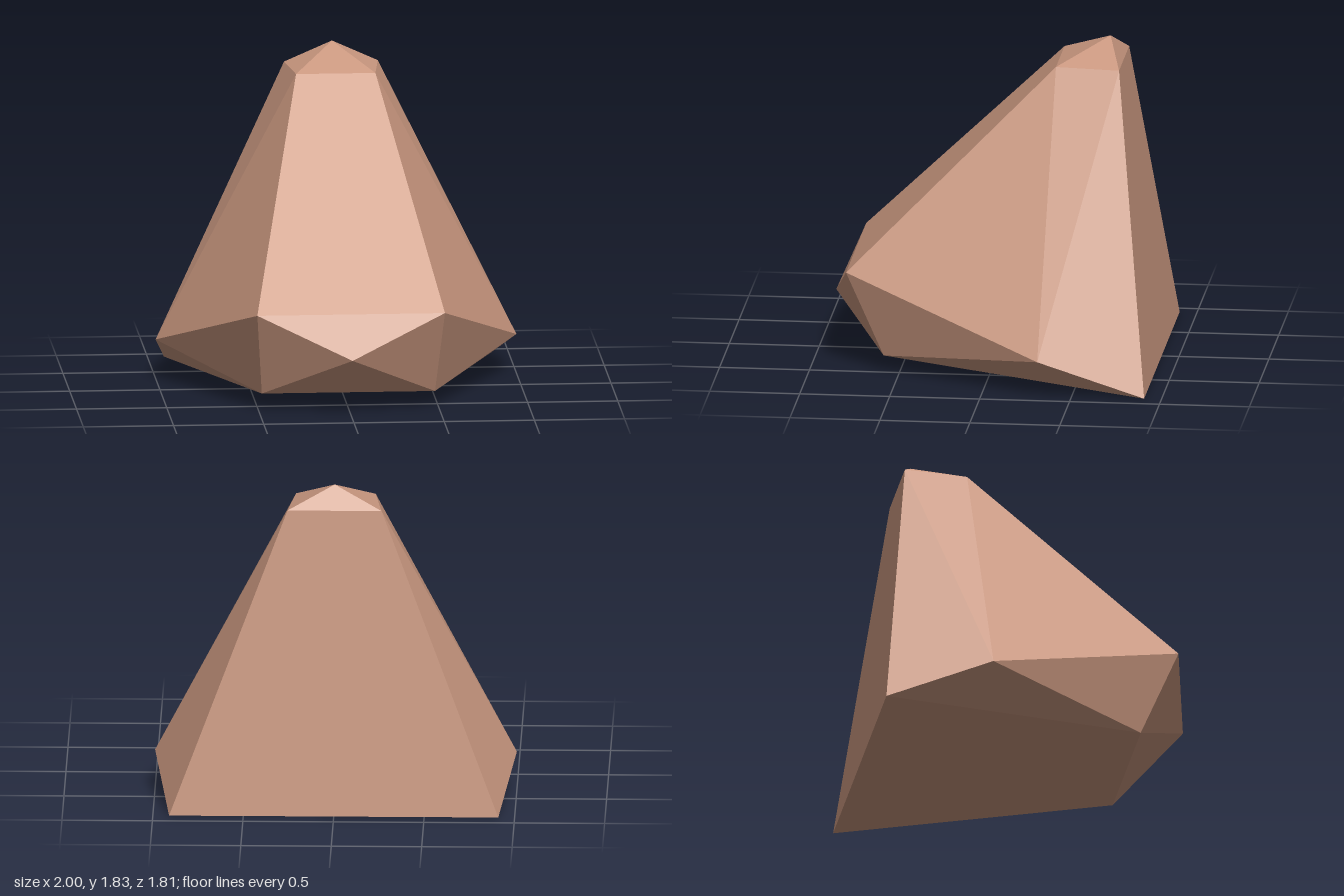
import * as THREE from 'three';

const skin = new THREE.MeshStandardMaterial({ color: 0xc9977f, flatShading: true });
skin.name = 'skin';

// Corner points of the left half; the right half mirrors them
const P = {
  crown: [0, 1.83, -0.62],
  topBack: [0.26, 1.7, -0.695],
  topFront: [0.22, 1.7, -0.34],
  back: [0.91, 0.004, -0.905],
  side: [1, 0.22, -0.32],
  bridge: [0.52, 0.57, 0.795],
  tip: [0, 0.33, 0.905],
  low: [0.48, 0.09, 0.59],
  base: [0, 0, -0.73],
};
const mirror = ([x, y, z]) => [-x, y, z];
const centre = new THREE.Vector3(0, 0.65, -0.2);

// Adds a triangle, turned so that it faces away from the centre
function addTriangle(out, a, b, c) {
  const [A, B, C] = [a, b, c].map((p) => new THREE.Vector3(...p));
  const normal = B.clone().sub(A).cross(C.clone().sub(A));
  const outward = normal.dot(A.clone().sub(centre)) > 0;
  out.push(...a, ...(outward ? b : c), ...(outward ? c : b));
}

// pairs: triangles repeated on both sides; spans: strips crossing the middle
function facets(name, pairs, spans) {
  const out = [];
  for (const names of pairs) {
    const pts = names.map((n) => P[n]);
    addTriangle(out, ...pts);
    addTriangle(out, ...pts.map(mirror));
  }
  for (const [n, m] of spans) {
    const a = P[n], b = P[m];
    addTriangle(out, a, mirror(a), b);
    if (b[0] !== 0) addTriangle(out, mirror(a), mirror(b), b);
  }
  const geometry = new THREE.BufferGeometry();
  geometry.setAttribute('position', new THREE.Float32BufferAttribute(out, 3));
  geometry.computeVertexNormals();
  const mesh = new THREE.Mesh(geometry, skin);
  mesh.name = name;
  return mesh;
}

export function createModel() {
  const nose = new THREE.Group();
  nose.name = 'nose';
  nose.add(
    facets('noseTop', [['crown', 'topFront', 'topBack']],
      [['topFront', 'crown'], ['topBack', 'crown']]),
    facets('noseBridge', [], [['topFront', 'bridge']]),
    facets('noseSides', [
      ['side', 'topFront', 'bridge'],
      ['side', 'topBack', 'topFront'],
      ['side', 'back', 'topBack'],
    ], []),
    facets('noseBack', [], [['topBack', 'back']]),
    facets('noseTip', [['bridge', 'tip', 'low'], ['bridge', 'low', 'side']],
      [['bridge', 'tip'], ['low', 'tip']]),
    facets('noseUnderside', [['side', 'low', 'back'], ['low', 'back', 'base']],
      [['low', 'base'], ['back', 'base']]),
  );

  // Diamond nostril plates just under the base
  for (const s of [1, -1]) {
    const nostril = new THREE.Mesh(new THREE.CircleGeometry(0.14, 4), skin);
    nostril.name = s > 0 ? 'leftNostril' : 'rightNostril';
    nostril.rotation.x = Math.PI / 2 - 0.07;
    nostril.position.set(0.36 * s, 0.04, 0.24);
    nose.add(nostril);
  }
  return nose;
}
